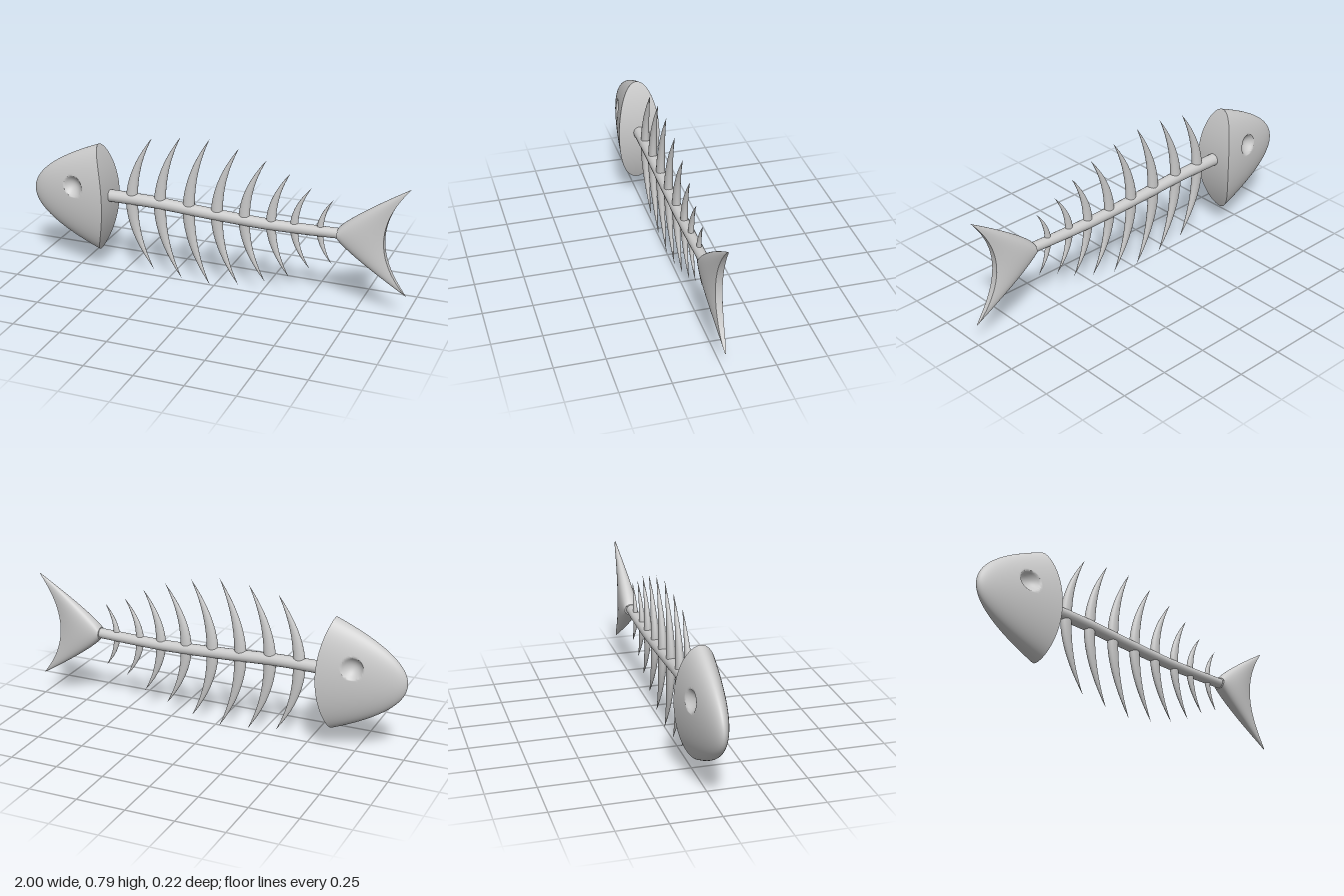
import * as THREE from 'three';
import { mergeVertices } from 'three/addons/utils/BufferGeometryUtils.js';

const MID = 0.396; // height of the long axis
const material = new THREE.MeshStandardMaterial({ color: 0xcccccc });

// Smooth surface from a rule point(u, v) -> [x, y, z], u and v in 0..1
function surface(name, cols, rows, point) {
  const grid = new THREE.PlaneGeometry(1, 1, cols, rows);
  const pos = grid.attributes.position;
  for (let i = 0; i < pos.count; i++) {
    const u = (i % (cols + 1)) / cols;
    const v = Math.floor(i / (cols + 1)) / rows;
    pos.setXYZ(i, ...point(u, v));
  }
  grid.deleteAttribute('uv');
  grid.deleteAttribute('normal');
  const geometry = mergeVertices(grid, 1e-5);
  geometry.computeVertexNormals();
  const mesh = new THREE.Mesh(geometry, material);
  mesh.name = name;
  return mesh;
}

// Loft of ellipses along x whose end is cut by a curved wall; the wall is capped
function cutLoft(name, cols, rows, shape, adjust = (p) => p) {
  const group = new THREE.Group();
  group.name = name;
  const at = (a, v) => {
    const c = Math.cos(a);
    const { t, h, w } = shape.section(v);
    const x = shape.x0 + t * (shape.rim(c) - shape.x0);
    return [x, MID + h * c, -w * Math.sin(a)];
  };
  group.add(surface(name + 'Skin', cols, rows, (u, v) => adjust(at(u * Math.PI * 2, v))));
  group.add(surface(name + 'Back', 48, 4, (u, v) => {
    const [x, y, z] = at(Math.PI * (1 - u), 1);
    return [x, y, -z * (1 - 2 * v)];
  }));
  return group;
}

// Hollow eye socket pressed into both sides of the head
function eyeSocket([x, y, z]) {
  const ex = -0.745, ey = 0.465, r = 0.055, depth = 0.035;
  const dx = x - ex, dy = y - ey;
  const d = Math.hypot(dx, dy);
  if (Math.abs(z) < 0.03) return [x, y, z];
  if (Math.abs(d - r) < 0.004) return [ex + dx * r / d, ey + dy * r / d, z]; // crisp edge
  if (d > r) return [x, y, z];
  return [x, y, z - Math.sign(z) * depth * (1 - (d / r) ** 2)];
}

// One curved bone running from its upper tip through the spine to its lower tip
function rib(x, sweep, height, width) {
  return surface('rib', 16, 40, (u, v) => {
    const s = v * 2 - 1;
    const a = u * Math.PI * 2;
    const taper = 1 - Math.abs(s) ** 1.6;
    return [
      x + sweep * s * s + width * taper * Math.cos(a),
      MID + height * s,
      width * 0.7 * taper * Math.sin(a),
    ];
  });
}

export function createModel() {
  const model = new THREE.Group();
  model.name = 'fishSkeleton';

  // Head: blunt nose opening to a tall oval, bulging at the back
  model.add(cutLoft('head', 160, 96, {
    x0: -1,
    rim: (c) => -0.57 - 0.06 * c * c,
    section: (v) => ({ t: v * v, h: 0.29 * v, w: 0.11 * v }),
  }, eyeSocket));

  // Spine: gently sagging, slightly tapered rod
  const path = new THREE.CatmullRomCurve3([
    [-0.6, 0.412], [-0.33, 0.412], [-0.05, 0.398], [0.25, 0.388], [0.45, 0.39], [0.67, 0.397],
  ].map(([x, y]) => new THREE.Vector3(x, y, 0)));
  model.add(surface('spine', 16, 40, (u, v) => {
    const p = path.getPoint(v);
    const a = u * Math.PI * 2;
    const r = 0.032 - 0.006 * v;
    return [p.x, p.y + r * Math.cos(a), -r * Math.sin(a)];
  }));

  // Ribs: x at the spine, backward sweep, half height, half width
  const ribs = new THREE.Group();
  ribs.name = 'ribs';
  [
    [-0.449, 0.117, 0.36, 0.032],
    [-0.294, 0.117, 0.386, 0.032],
    [-0.136, 0.114, 0.396, 0.032],
    [0.016, 0.117, 0.37, 0.031],
    [0.162, 0.115, 0.328, 0.029],
    [0.303, 0.097, 0.277, 0.026],
    [0.423, 0.085, 0.215, 0.021],
    [0.556, 0.064, 0.17, 0.017],
  ].forEach((r) => ribs.add(rib(...r)));
  model.add(ribs);

  // Tail: fans out to two points, with a hollowed rear edge
  const tail = cutLoft('tail', 64, 32, {
    x0: 0.65,
    rim: (c) => 0.88 + 0.12 * c * c,
    section: (t) => ({
      t,
      h: 0.03 + 0.25 * t ** 0.85,
      w: 0.035 + 0.042 * t - 0.06 * t * t,
    }),
  });
  const front = new THREE.Mesh(new THREE.CircleGeometry(1, 32), material);
  front.name = 'tailFront';
  front.scale.set(0.035, 0.03, 1);
  front.rotation.y = -Math.PI / 2;
  front.position.set(0.65, MID, 0);
  tail.add(front);
  model.add(tail);

  return model;
}
